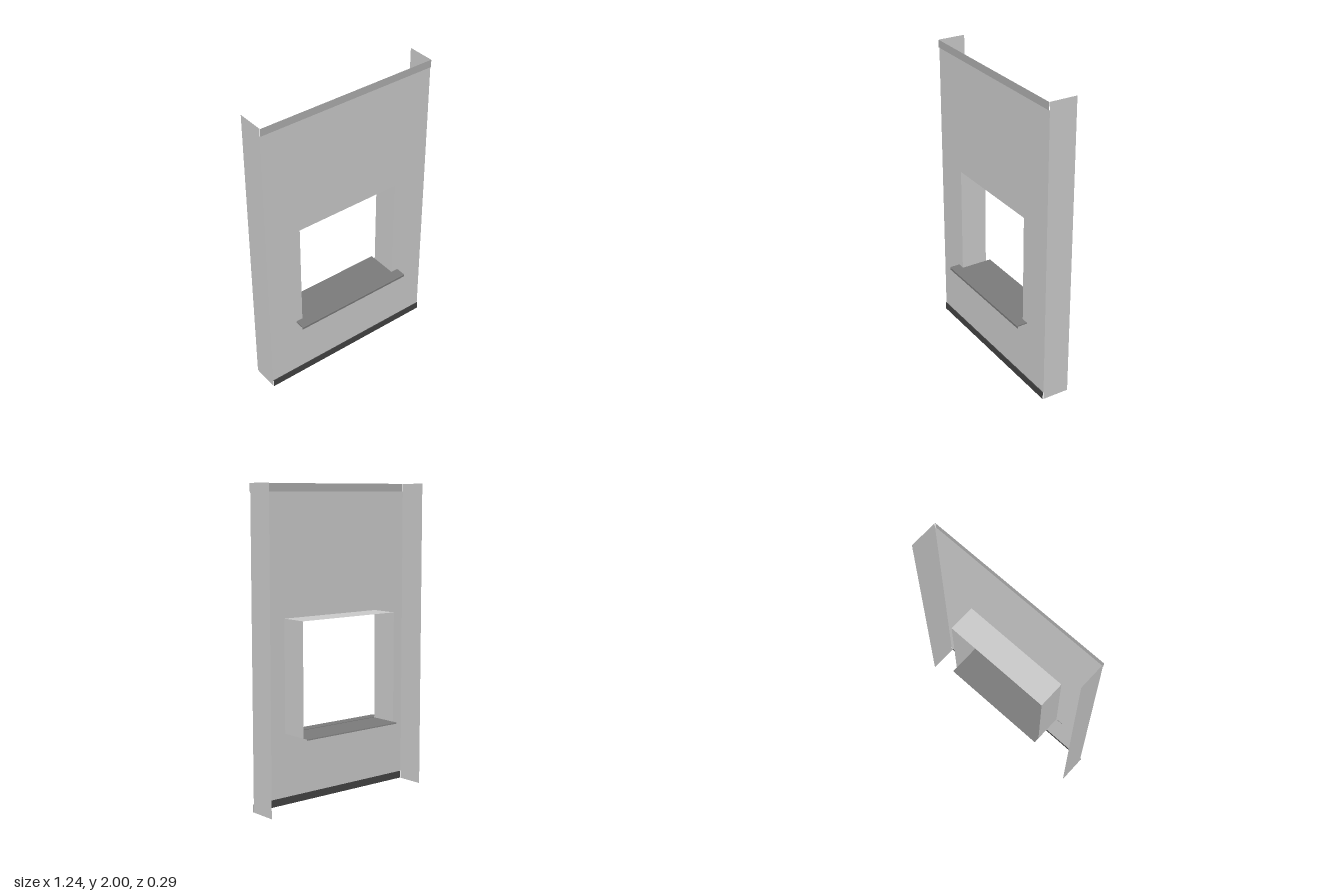
import * as THREE from 'three';

const W = 0.622, FRONT = 0.072, BACK = -0.11;      // half width and wall depth
const OPEN = { x: 0.375, bottom: 0.458, top: 1.178 };

const sheetMaterial = (color = 0xcccccc) =>
  new THREE.MeshStandardMaterial({ color, side: THREE.DoubleSide, flatShading: true });

// Thin sheet: a [z, y] profile swept across x from -half to +half
function bentSheet(name, profile, half, color) {
  const pos = [], index = [];
  for (let i = 0; i < profile.length - 1; i++) {
    const [za, ya] = profile[i], [zb, yb] = profile[i + 1], n = i * 4;
    pos.push(-half, ya, za, half, ya, za, half, yb, zb, -half, yb, zb);
    index.push(n, n + 1, n + 2, n, n + 2, n + 3);
  }
  const geo = new THREE.BufferGeometry();
  geo.setAttribute('position', new THREE.Float32BufferAttribute(pos, 3));
  geo.setIndex(index);
  geo.computeVertexNormals();
  const mesh = new THREE.Mesh(geo, sheetMaterial(color));
  mesh.name = name;
  return mesh;
}

// Upright sheet facing sideways, spanning the wall depth
function sideSheet(name, side, x, y0, y1) {
  const geo = new THREE.PlaneGeometry(FRONT - BACK, y1 - y0);
  geo.rotateY(side * Math.PI / 2);
  const mesh = new THREE.Mesh(geo, sheetMaterial());
  mesh.position.set(side * x, (y0 + y1) / 2, (FRONT + BACK) / 2);
  mesh.name = name;
  return mesh;
}

export function createModel() {
  const group = new THREE.Group();
  group.name = 'windowWall';

  // Front panel with the window opening
  const outline = new THREE.Shape();
  outline.moveTo(-W, 0.05).lineTo(W, 0.05).lineTo(W, 1.95).lineTo(-W, 1.95).closePath();
  const hole = new THREE.Path();
  hole.moveTo(-OPEN.x, OPEN.bottom).lineTo(-OPEN.x, OPEN.top)
    .lineTo(OPEN.x, OPEN.top).lineTo(OPEN.x, OPEN.bottom).closePath();
  outline.holes.push(hole);
  const panel = new THREE.Mesh(new THREE.ShapeGeometry(outline), sheetMaterial());
  panel.position.z = FRONT;
  panel.name = 'frontPanel';
  group.add(panel);

  // Slightly raised bands along the top and bottom
  const raised = FRONT + 0.005;
  group.add(bentSheet('topBand', [[FRONT, 1.95], [raised, 1.95], [raised, 2]], W, 0xafafaf));
  group.add(bentSheet('bottomBand', [[raised, 0], [raised, 0.05], [FRONT, 0.05]], W, 0x444444));

  // Wall ends and window jambs
  for (const [label, side] of [['left', 1], ['right', -1]]) {
    group.add(sideSheet(label + 'WallEnd', side, W, 0, 2));
    group.add(sideSheet(label + 'Jamb', -side, OPEN.x, OPEN.bottom, OPEN.top));
  }

  // Lintel over the opening
  group.add(bentSheet('lintel', [[FRONT, OPEN.top], [BACK, OPEN.top]], OPEN.x));

  // Inner sill, running through the opening and past the back
  group.add(bentSheet('innerSill',
    [[FRONT, OPEN.bottom], [-0.143, OPEN.bottom], [-0.145, 0.451]], OPEN.x, 0x7c7c7c));

  // Outer sill with a turned-down front lip
  const lip = new THREE.Shape();
  lip.moveTo(FRONT, 0.454).lineTo(0.137, 0.454).lineTo(0.137, 0.443).lineTo(0.143, 0.443)
    .lineTo(0.143, 0.458).lineTo(0.14, 0.461).lineTo(FRONT, 0.461).closePath();
  const sillGeo = new THREE.ExtrudeGeometry(lip, { depth: 0.846, bevelEnabled: false });
  sillGeo.translate(0, 0, -0.423).rotateY(-Math.PI / 2);
  const sill = new THREE.Mesh(sillGeo, sheetMaterial(0x7c7c7c));
  sill.name = 'outerSill';
  group.add(sill);

  return group;
}
